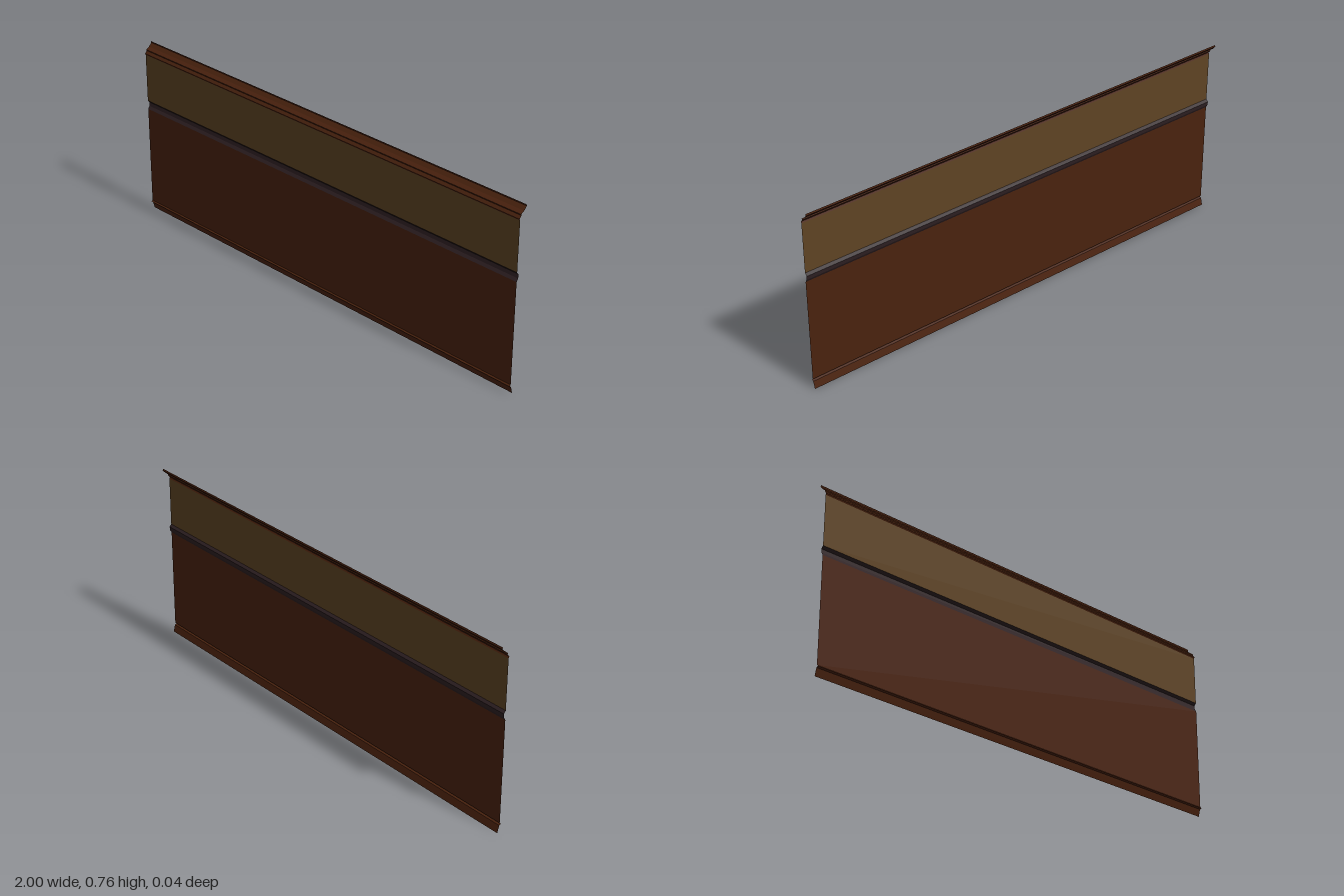
import * as THREE from 'three';

const HALF_LENGTH = 1;

function makeMaterial(name, color) {
  const m = new THREE.MeshStandardMaterial({ color, side: THREE.DoubleSide, flatShading: true });
  m.name = name;
  return m;
}

// Open sheet swept along x from a [z, y] profile listed bottom to top
function strip(name, profile, material) {
  const positions = [];
  for (let i = 0; i < profile.length - 1; i++) {
    const [z0, y0] = profile[i];
    const [z1, y1] = profile[i + 1];
    const a = [-HALF_LENGTH, y0, z0], b = [HALF_LENGTH, y0, z0];
    const c = [HALF_LENGTH, y1, z1], d = [-HALF_LENGTH, y1, z1];
    positions.push(...a, ...b, ...c, ...a, ...c, ...d);
  }
  const geometry = new THREE.BufferGeometry();
  geometry.setAttribute('position', new THREE.Float32BufferAttribute(positions, 3));
  geometry.computeVertexNormals();
  const mesh = new THREE.Mesh(geometry, material);
  mesh.name = name;
  return mesh;
}

export function createModel() {
  const wood = makeMaterial('dark wood', 0x4a220e);
  const plaster = makeMaterial('ochre plaster', 0x5f4424);
  const railPaint = makeMaterial('dark rail', 0x2e2022);
  const wall = 0.013; // z of the flat wall sheet

  const group = new THREE.Group();
  group.name = 'wallPanel';
  group.add(
    // Skirting leaning towards the back, with a small bead on top
    strip('baseboard', [[0.003, 0], [0.011, 0.03], [0.019, 0.034], [wall, 0.039]], wood),
    strip('lowerPanel', [[wall, 0.039], [wall, 0.468]], wood),
    // Rail pressed out towards the back
    strip('chairRail', [[wall, 0.468], [0.006, 0.48], [0.004, 0.496], [wall, 0.506]], railPaint),
    strip('upperPanel', [[wall, 0.506], [wall, 0.713]], plaster),
    // Stepped crown moulding sweeping back
    strip('crownMoulding', [
      [wall, 0.713], [0.016, 0.719], [0.007, 0.73], [0.009, 0.735],
      [-0.006, 0.744], [-0.017, 0.756], [-0.019, 0.758], [-0.017, 0.765],
    ], wood),
  );
  return group;
}
